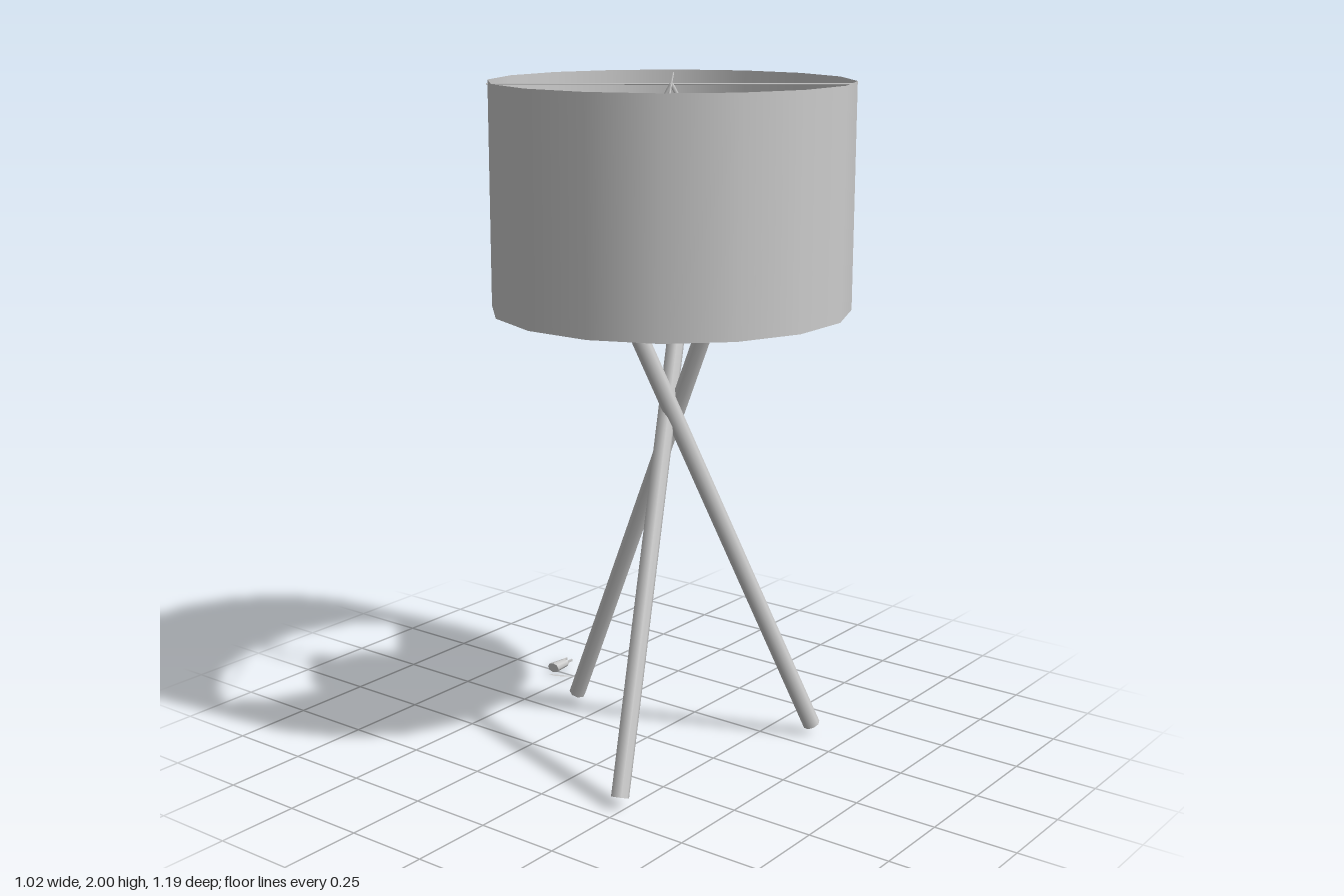
import * as THREE from 'three';

const grey = new THREE.MeshStandardMaterial({ color: 0xcccccc });
grey.name = 'grey';
const greyOpen = new THREE.MeshStandardMaterial({ color: 0xcccccc, side: THREE.DoubleSide });
greyOpen.name = 'grey two-sided';

const CZ = 0.085; // lamp axis sits slightly forward

export function createModel() {
  const root = new THREE.Group();
  root.name = 'tripodLamp';

  const add = (name, geo, mat = grey, parent = root) => {
    const m = new THREE.Mesh(geo, mat);
    m.name = name;
    parent.add(m);
    return m;
  };

  // Straight rod between two points
  const rod = (name, a, b, r, sides, parent = root) => {
    const p = new THREE.Vector3(...a), q = new THREE.Vector3(...b);
    const d = q.clone().sub(p);
    const m = add(name, new THREE.CylinderGeometry(r, r, d.length(), sides), grey, parent);
    m.position.copy(p).add(q).multiplyScalar(0.5);
    m.quaternion.setFromUnitVectors(new THREE.Vector3(0, 1, 0), d.normalize());
    return m;
  };

  // Open drum shade
  const shade = add('shade', new THREE.CylinderGeometry(0.518, 0.518, 0.645, 16, 1, true, Math.PI / 16), greyOpen);
  shade.position.set(0, 1.6775, CZ);

  // Two crossing wires holding the shade at the top rim
  for (const [x, z] of [[0.42, -0.305], [0.31, 0.415]]) {
    rod('shadeWire', [-x, 1.99, CZ - z], [x, 1.99, CZ + z], 0.003, 4);
  }

  // Three crossing legs
  const legs = [
    [[-0.43, 0.03, 0.232], [0.121, 1.37, 0.033]],
    [[0.335, 0.03, 0.385], [-0.122, 1.37, 0.015]],
    [[0.093, 0.03, -0.355], [0.012, 1.37, 0.225]],
  ];
  for (const [foot, top] of legs) rod('leg', foot, top, 0.026, 8);

  // Round plate joining the legs
  const plate = add('plate', new THREE.CylinderGeometry(0.2, 0.2, 0.012, 14));
  plate.position.set(0, 1.37, CZ);

  // Socket and bulb
  const profile = (pts) => new THREE.LatheGeometry(pts.map(([r, y]) => new THREE.Vector2(r, y)), 8);
  add('socket', profile([[0, 1.375], [0.035, 1.375], [0.035, 1.5], [0.025, 1.51], [0, 1.51]])).position.z = CZ;
  add('bulb', profile([[0.025, 1.5], [0.035, 1.53], [0.06, 1.585], [0.055, 1.625], [0.03, 1.655], [0, 1.665]])).position.z = CZ;

  // Harp arms rising around the bulb to the wire crossing
  const harp = new THREE.Group();
  harp.name = 'harp';
  harp.position.z = CZ;
  harp.rotation.y = -Math.atan2(0.415, 0.31);
  root.add(harp);
  for (const s of [-1, 1]) {
    const pts = [[0.03, 1.4], [0.07, 1.43], [0.085, 1.52], [0.085, 1.68], [0.07, 1.85], [0, 1.99]];
    const path = new THREE.CatmullRomCurve3(pts.map(([x, y]) => new THREE.Vector3(s * x, y, 0)));
    add('harpArm', new THREE.TubeGeometry(path, 14, 0.006, 5), grey, harp);
  }

  // Plug lying on the floor behind the lamp
  const plug = new THREE.Group();
  plug.name = 'plug';
  plug.position.set(0.265, 0.016, -0.577);
  root.add(plug);
  const body = add('plugBody', new THREE.CylinderGeometry(0.023, 0.018, 0.06, 8), grey, plug);
  body.rotation.z = Math.PI / 2;
  body.scale.x = 0.69;
  for (const z of [-0.011, 0.011]) {
    const prong = add('prong', new THREE.BoxGeometry(0.028, 0.008, 0.004), grey, plug);
    prong.position.set(0.042, 0.004, z);
  }

  // Short flat scrap of cord on the floor
  const cord = new THREE.BufferGeometry();
  cord.setAttribute('position', new THREE.Float32BufferAttribute(
    [0.19, 0.012, -0.563, 0.19, 0.012, -0.528, 0.233, 0.012, -0.466], 3));
  cord.computeVertexNormals();
  add('cord', cord, greyOpen);

  return root;
}
